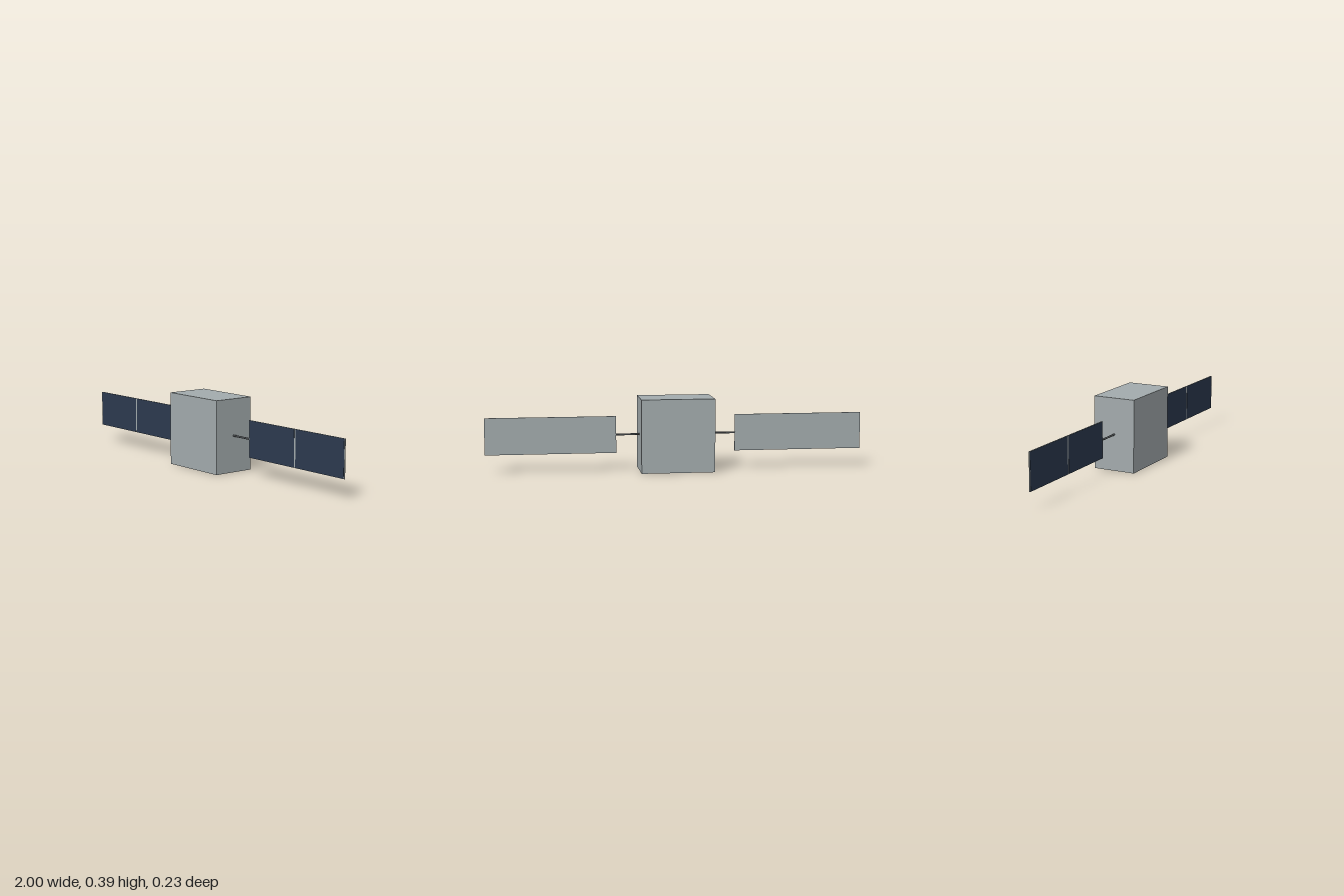
import * as THREE from 'three';

const mat = (name, color) => new THREE.MeshStandardMaterial({ name, color });

export function createModel() {
  const silver = mat('silver grey', 0xa3abad);
  const navy = mat('solar navy', 0x2c3a4f);
  const dark = mat('dark grey', 0x565a5d);
  const model = new THREE.Group();
  model.name = 'satellite';
  const midY = 0.193;

  const add = (parent, name, geometry, material, x, y, z) => {
    const mesh = new THREE.Mesh(geometry, material);
    mesh.name = name;
    mesh.position.set(x, y, z);
    parent.add(mesh);
    return mesh;
  };

  // Main body
  add(model, 'body', new THREE.BoxGeometry(0.386, 0.386, 0.23), silver, 0, midY, 0);

  // Wings, one per side
  for (const side of [-1, 1]) {
    const wing = new THREE.Group();
    wing.name = side > 0 ? 'leftWing' : 'rightWing';
    wing.position.y = midY;
    model.add(wing);

    // Boom from the body to the panel
    const boom = add(wing, 'boom', new THREE.CylinderGeometry(0.005, 0.005, 0.126, 16), dark, side * 0.254, 0, 0);
    boom.rotation.z = Math.PI / 2;

    // Backing panel
    add(wing, 'panel', new THREE.BoxGeometry(0.685, 0.194, 0.005), silver, side * 0.6575, 0, -0.0005);

    // Two solar cell plates on the front
    for (const half of [-1, 1]) {
      add(wing, 'solarCells', new THREE.BoxGeometry(0.333, 0.191, 0.001), navy,
        side * 0.6575 + half * 0.1715, 0, 0.0025);
    }
  }
  return model;
}
